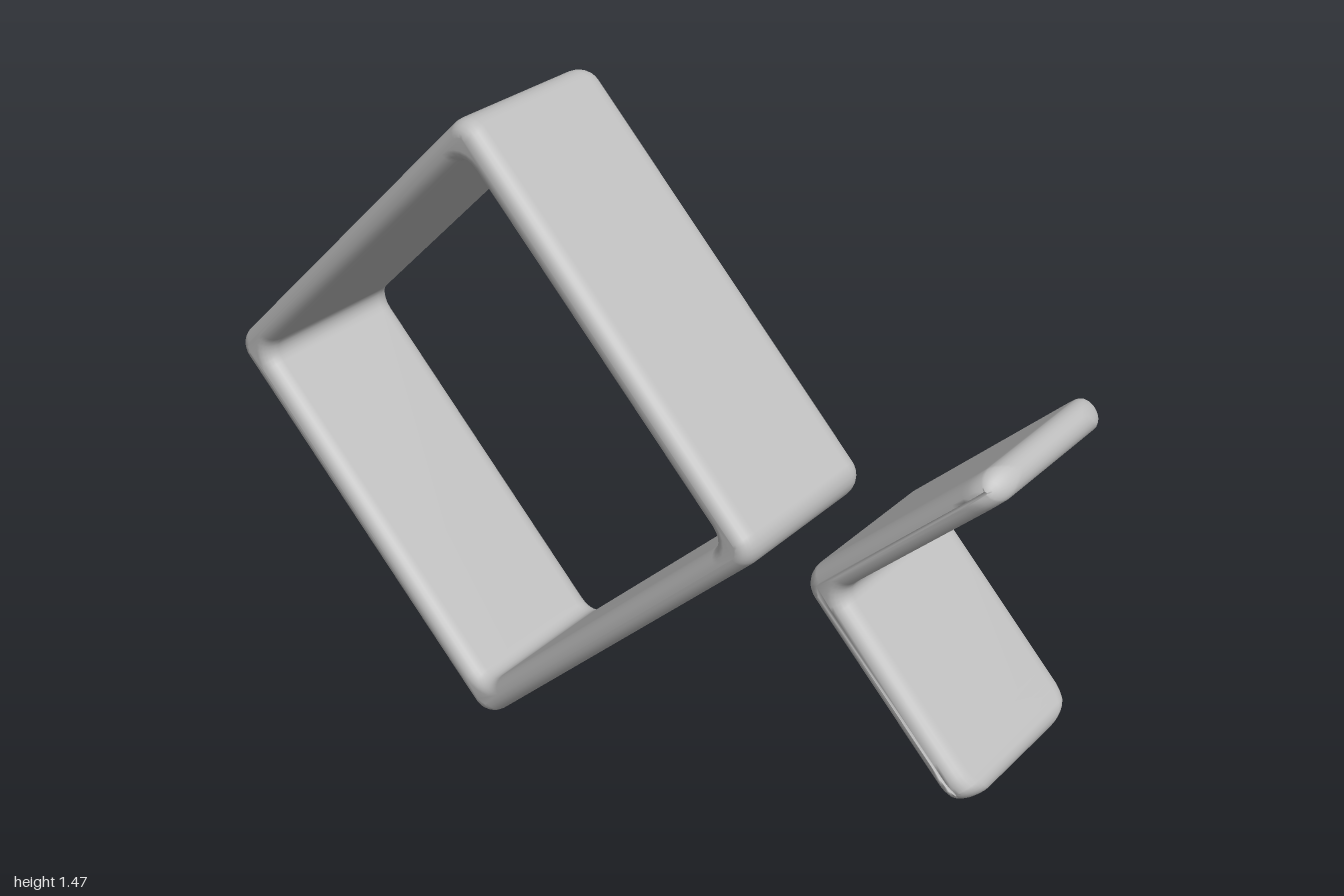
import * as THREE from 'three';
import { mergeVertices } from 'three/addons/utils/BufferGeometryUtils.js';

const BEVEL = 0.03, BEVEL_Z = 0.042, HALF_WIDTH = 0.207;
const CY = 0.734;

// Closed outline from [x, y, radius] corners; right-angle corners get arcs.
function outline(corners, steps = 6) {
  const points = [];
  corners.forEach(([x, y, r], i) => {
    const p = new THREE.Vector2(x, y);
    if (!r) { points.push(p); return; }
    const toward = (q) => new THREE.Vector2(q[0], q[1]).sub(p).normalize().multiplyScalar(r);
    const a = toward(corners.at(i - 1));
    const b = toward(corners[(i + 1) % corners.length]);
    for (let k = 0; k <= steps; k++) {
      const t = (k / steps) * Math.PI / 2;
      points.push(p.clone().addScaledVector(a, 1 - Math.sin(t)).addScaledVector(b, 1 - Math.cos(t)));
    }
  });
  return points;
}

const diamond = (cx, d, r) =>
  outline([[cx + d, CY, r], [cx, CY + d, r], [cx - d, CY, r], [cx, CY - d, r]]);

// Extrude along z with round edges, optionally reshape, then smooth.
function softBand(shape, reshape) {
  const depth = 2 * (HALF_WIDTH - BEVEL_Z);
  const geo = new THREE.ExtrudeGeometry(shape, {
    depth, steps: 1, bevelEnabled: true,
    bevelSize: BEVEL, bevelThickness: BEVEL_Z, bevelSegments: 6,
  });
  geo.translate(0, 0, -depth / 2);
  if (reshape) {
    const pos = geo.attributes.position;
    for (let i = 0; i < pos.count; i++) {
      pos.setZ(i, pos.getZ(i) * reshape(pos.getX(i), pos.getY(i)));
    }
  }
  geo.deleteAttribute('normal');
  geo.deleteAttribute('uv');
  const smooth = mergeVertices(geo, 1e-5);
  smooth.computeVertexNormals();
  return smooth;
}

export function createModel() {
  const group = new THREE.Group();
  const grey = new THREE.MeshStandardMaterial({ color: 0xbcbcbc });
  grey.name = 'grey';
  const add = (name, geo) => {
    const mesh = new THREE.Mesh(geo, grey);
    mesh.name = name;
    group.add(mesh);
  };

  // Diamond frame: a square band standing on its corner
  const frame = new THREE.Shape(diamond(-0.267, 0.7126, 0.023));
  frame.holes.push(new THREE.Path(diamond(-0.267, 0.703, 0.07)));
  add('diamondFrame', softBand(frame));

  // Chevron: two arms opening toward +x
  const vx = 0.625, core = 0.0035, tip = 0.5167, s = Math.SQRT1_2;
  // Point at distance a along an arm, offset o to its outer side
  const at = (a, o, side, r = 0) => [vx + (a - o) * s, CY + side * (a + o) * s, r];
  const stations = [0.41, 0.44, 0.455, 0.47];
  const end = tip - BEVEL;
  const arm = (side) => [
    ...stations.map((a) => at(a, -core, side)),
    at(end, -core, side, core * 0.98),
    at(end, core, side, core * 0.98),
    ...stations.slice().reverse().map((a) => at(a, core, side)),
  ];
  const corners = [
    [vx + core * Math.SQRT2, CY, 0.06],
    ...arm(1),
    [vx - core * Math.SQRT2, CY, 0.023],
    ...arm(-1).reverse(),
  ];
  // Narrow the band near the tips so the arm ends have round corners
  const R = 0.065;
  const roundTip = (x, y) => {
    const d = tip - (x - vx + Math.abs(y - CY)) * s;
    const k = Math.min(1, Math.max(0, 1 - d / R));
    return (HALF_WIDTH - R + R * Math.sqrt(1 - k * k)) / HALF_WIDTH;
  };
  add('chevron', softBand(new THREE.Shape(outline(corners)), roundTip));

  return group;
}
